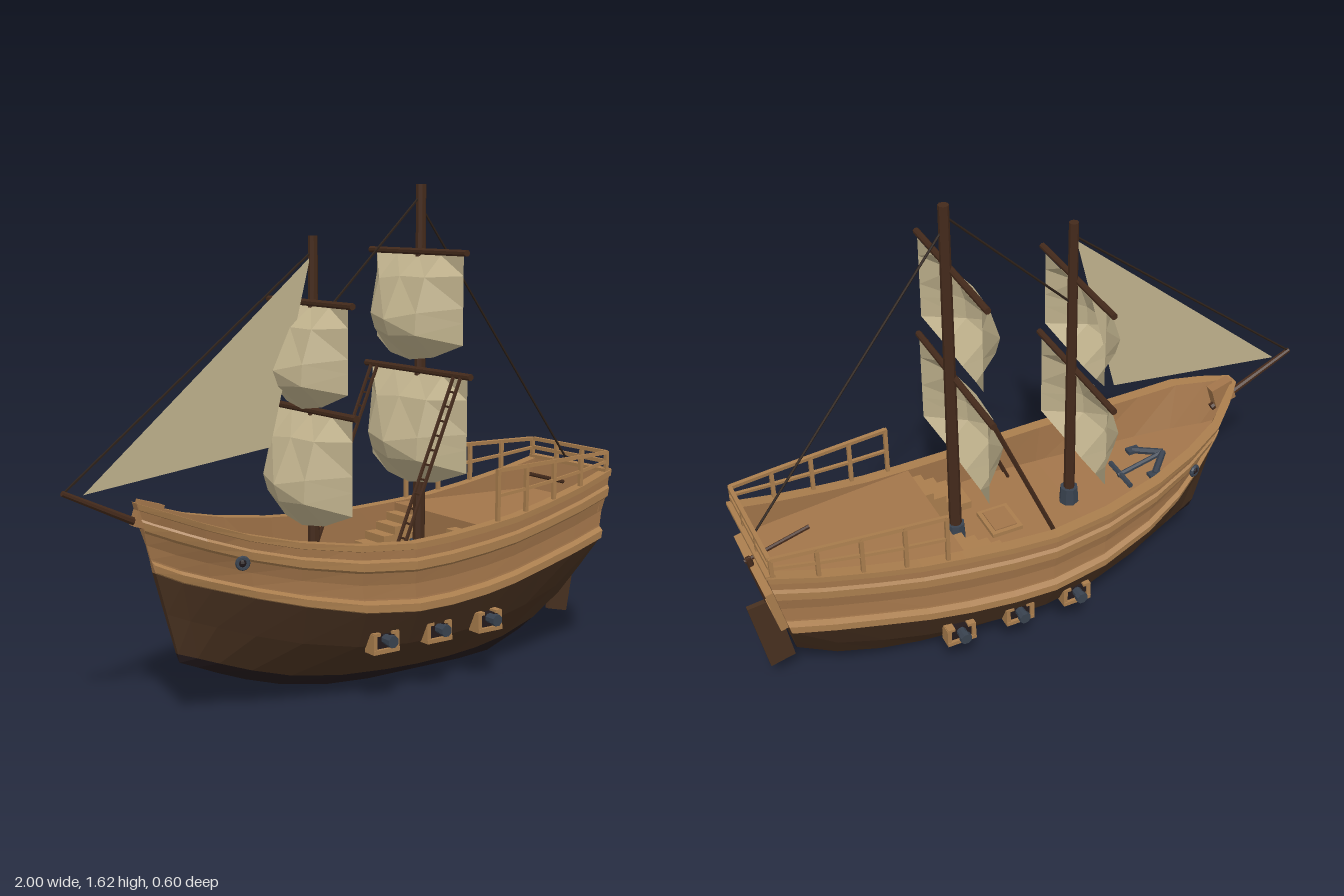
import * as THREE from 'three';

const paint = (name, color, side = THREE.FrontSide) =>
  new THREE.MeshStandardMaterial({ name, color, flatShading: true, side });
const M = {
  tan: paint('tanPlank', 0xa2754a, THREE.DoubleSide), light: paint('lightTrim', 0xa97d4d),
  brown: paint('darkPlank', 0x47301f), black: paint('tarredBottom', 0x231a1c),
  mast: paint('darkWood', 0x442a1b), iron: paint('iron', 0x39424f),
  sail: paint('sailcloth', 0xbfb18c, THREE.DoubleSide), rope: paint('rope', 0x2c2018),
  glass: paint('windowGlass', 0x505762),
};

// Hull lines at each station, bow (-x) to stern (+x)
const X = [-.77, -.70, -.62, -.5, -.35, -.15, .05, .2, .36, .5, .65, .82, .97];
const N = X.length;
const sheerY = [.69, .665, .635, .595, .56, .53, .515, .518, .528, .54, .565, .60, .64];
const sheerW = [.015, .085, .15, .195, .235, .268, .28, .27, .256, .243, .228, .21, .192];
const bandY = [.47, .44, .42, .39, .355, .315, .295, .293, .30, .315, .34, .37, .40];
const bandW = [.012, .055, .105, .172, .23, .273, .288, .28, .266, .252, .235, .217, .2];
const tarY = [.21, .19, .165, .13, .095, .07, .06, .055, .055, .06, .075, .115, .185];
const keelY = [.18, .155, .125, .085, .045, .012, 0, 0, 0, 0, .008, .06, .14];
const tarR = [.6, .4, .33, .33, .34, .36, .37, .37, .36, .34, .31, .28, .26];
const midR = [.8, .7, .7, .73, .76, .78, .79, .79, .78, .76, .73, .69, .64];
const mix = THREE.MathUtils.lerp;

function along(table, x) {
  let i = 0;
  while (i < N - 2 && x > X[i + 1]) i++;
  return mix(table[i], table[i + 1], (x - X[i]) / (X[i + 1] - X[i]));
}
// Level f: -3 keel, -2 tar line, -1 mid, 0 plank band, 1 sheer
function hullPoint(i, f, off = 0) {
  const ys = [keelY[i], tarY[i], (tarY[i] + bandY[i]) / 2, bandY[i], sheerY[i]];
  const ws = [0, bandW[i] * tarR[i], bandW[i] * midR[i], bandW[i], sheerW[i]];
  const k = Math.min(3, Math.floor(f + 3)), t = f + 3 - k;
  const y = mix(ys[k], ys[k + 1], t), w = mix(ws[k], ws[k + 1], t);
  const keelX = -.63 + (X[i] + .77) * 1.49 / 1.74;
  return [mix(keelX, X[i], (y - keelY[i]) / (sheerY[i] - keelY[i])), y, Math.max(0, w + off)];
}
// Surface from a grid of points
function grid(ni, nj, fn, flip = false) {
  const pos = [], idx = [];
  for (let i = 0; i < ni; i++) for (let j = 0; j < nj; j++) pos.push(...fn(i, j));
  for (let i = 0; i < ni - 1; i++) for (let j = 0; j < nj - 1; j++) {
    const a = i * nj + j, b = a + nj, c = b + 1, d = a + 1;
    idx.push(...(flip ? [a, c, b, a, d, c] : [a, b, c, a, c, d]));
  }
  const g = new THREE.BufferGeometry();
  g.setAttribute('position', new THREE.Float32BufferAttribute(pos, 3));
  g.setIndex(idx);
  g.computeVertexNormals();
  return g;
}

export function createModel() {
  const ship = new THREE.Group();
  ship.name = 'sailingShip';
  const add = (name, geo, mat, p = [0, 0, 0], parent = ship) => {
    const m = new THREE.Mesh(geo, mat);
    m.name = name;
    m.position.set(...p);
    parent.add(m);
    return m;
  };
  const box = (name, size, p, mat, parent) => add(name, new THREE.BoxGeometry(...size), mat, p, parent);
  const bar = (name, a, b, r, mat, sides = 8, r2 = r) => {
    const A = new THREE.Vector3(...a), B = new THREE.Vector3(...b), d = B.clone().sub(A);
    const m = add(name, new THREE.CylinderGeometry(r2, r, d.length(), sides, 1, false, Math.PI / sides), mat);
    m.position.copy(A).add(B).multiplyScalar(.5);
    m.quaternion.setFromUnitVectors(new THREE.Vector3(0, 1, 0), d.normalize());
    return m;
  };
  const strake = (name, sec, mat) => [1, -1].forEach(s => add(name, grid(N, sec.length, (i, j) => {
    const p = hullPoint(i, ...sec[j]);
    return [p[0], p[1], p[2] * s];
  }, s < 0), mat));
  const endCap = (name, i, sec, mat, flip) => add(name, grid(2, sec.length, (k, j) => {
    const p = hullPoint(i, ...sec[j]);
    return [p[0], p[1], k ? -p[2] : p[2]];
  }, flip), mat);

  // Hull bands with bow and stern faces
  for (const [name, sec, mat] of [['hullBottom', [[-3], [-2]], M.black],
    ['hullSide', [[-2], [-1], [0]], M.brown],
    ['bulwark', [[0], [.2, -.008], [.4, -.01], [.62, 0], [1]], M.tan]]) {
    strake(name, sec, mat);
    endCap(name + 'Stern', N - 1, sec, mat, false);
    endCap(name + 'Bow', 0, sec, mat, true);
  }
  strake('bulwarkInside', [[1, -.03], [.2, -.03]], M.tan);
  strake('lowerWale', [[0, 0], [.02, .01], [.13, .01], [.18, -.008]], M.light);
  strake('upperWale', [[.58, -.002], [.62, .009], [.74, .009], [.78, 0]], M.light);
  strake('capRail', [[.9, 0], [.91, .008], [1, .008], [1, -.032]], M.light);
  add('sternInside', grid(2, 2, (k, j) => {
    const p = hullPoint(N - 1, j ? 1 : .4);
    return [p[0] - .025, p[1], k ? -p[2] : p[2]];
  }), M.tan);
  box('sternCap', [.03, .012, .39], [.957, .637, 0], M.light);
  box('bowPost', [.08, .08, .035], [-.728, .648, 0], M.tan).rotation.z = -.3;

  // Decks, break of the quarterdeck, stairs and hatch
  const deck = (name, from, to, height) => add(name, grid(to - from + 1, 2, (i, j) => {
    const s = from + i, y = height(s);
    const p = hullPoint(s, (y - bandY[s]) / (sheerY[s] - bandY[s]), -.014);
    return [p[0], y, j ? -p[2] : p[2]];
  }), M.tan);
  const floor = .385;
  deck('mainDeck', 0, 8, s => Math.max(floor, sheerY[s] - .155));
  deck('quarterDeck', 8, N - 1, () => .524);
  box('deckBreak', [.012, .139, .49], [.355, .4545, 0], M.tan);
  for (const s of [1, -1]) for (let k = 0; k < 4; k++) {
    const h = .028 * (k + 1);
    box('stairStep', [.045, h, .11], [.195 + k * .045, floor + h / 2, s * .165], M.light);
  }
  box('hatchFrame', [.11, .014, .13], [.12, floor + .007, 0], M.light);
  box('hatchCover', [.08, .008, .10], [.12, floor + .014, 0], M.tan);

  // Quarterdeck railing
  const rail = .009;
  for (const s of [1, -1]) {
    const posts = [.413, .545, .68, .815, .952].map(x =>
      [x, along(sheerY, x), s * (along(sheerW, x) - .004)]);
    posts.forEach((p, i) => {
      bar('railPost', p, [p[0], .705, p[2]], rail, M.light, 4);
      if (!i) return;
      const q = posts[i - 1], mid = r => mix(r[1], .70, .5);
      bar('topRail', [q[0], .70, q[2]], [p[0], .70, p[2]], rail, M.light, 4);
      bar('midRail', [q[0], mid(q), q[2]], [p[0], mid(p), p[2]], rail * .8, M.light, 4);
    });
    bar('sternRailPost', [.955, .63, s * .065], [.955, .70, s * .065], rail, M.light, 4);
  }
  for (const y of [.70, .668]) bar('sternRail', [.955, y, -.186], [.955, y, .186], rail, M.light, 4);

  // Masts, yards and billowed sails
  const drop = [0, .22, .58, .75, 1], belly = [0, .085, .134, .12, .035], spread = [0, .8, 1, .8, 0];
  const rig = (mx, top, r, yards) => {
    bar('mast', [mx, floor - .01, 0], [mx, top, 0], r, M.mast, 8, r * .8);
    add('mastCollar', new THREE.CylinderGeometry(.03, .034, .06, 8), M.iron, [mx, floor + .03, 0]);
    for (const [y, half, w, bottom] of yards) {
      bar('yard', [mx - .015, y, -half], [mx - .015, y, half], .011, M.mast);
      add('squareSail', grid(5, 5, (i, j) => {
        const u = i / 2 - 1, inner = i % 4 && j % 4 ? ((i * 3 + j * 5) % 4 - 1.5) * .005 : 0;
        return [mx - .008 - belly[j] * spread[i] + inner,
          mix(y - .01, bottom, drop[j]) + .06 * u * u * drop[j] + inner, u * w];
      }), M.sail);
    }
  };
  rig(-.14, 1.455, .019, [[1.25, .235, .20, .92], [.915, .255, .225, .55]]);
  rig(.28, 1.615, .021, [[1.40, .255, .23, 1.05], [1.015, .28, .255, .645]]);

  // Bowsprit, stays and jib
  bar('bowsprit', [-.69, .595, 0], [-.995, .742, 0], .014, M.mast, 8, .009);
  for (const [a, b] of [[[-.99, .742, 0], [-.14, 1.41, 0]], [[-.13, 1.18, 0], [.28, 1.58, 0]],
    [[.29, 1.53, 0], [.945, .65, 0]]]) bar('stay', a, b, .004, M.rope, 5);
  const jib = new THREE.Shape([[-.15, 1.39], [-.93, .73], [-.30, .81]].map(p => new THREE.Vector2(...p)));
  add('jib', new THREE.ShapeGeometry(jib), M.sail);

  // Rope ladders to the main mast
  for (const s of [1, -1]) {
    for (const z of [.205, .24]) bar('ladderSide', [-.01, floor, s * z], [.255, 1.01, s * z], .006, M.mast, 5);
    for (let k = 1; k < 14; k++) {
      const x = mix(-.01, .255, k / 14), y = mix(floor, 1.01, k / 14);
      bar('ladderRung', [x, y, s * .205], [x, y, s * .24], .004, M.mast, 4);
    }
  }

  // Gun ports, cannons and hawse rings
  for (const s of [1, -1]) {
    for (const x of [-.04, .17, .38]) {
      const port = new THREE.Group();
      port.name = 'gunPort';
      port.position.set(x, .205, s * .234);
      ship.add(port);
      box('portSill', [.1, .014, .05], [0, -.027, 0], M.light, port);
      for (const e of [1, -1]) {
        box('portSide', [.014, .06, .045], [e * .043, 0, 0], M.light, port);
        box('portHead', [.025, .01, .045], [e * .035, .028, 0], M.light, port);
      }
      box('portOpening', [.072, .045, .03], [0, .003, 0], M.black, port);
      bar('cannon', [x, .215, s * .19], [x, .215, s * .285], .016, M.iron);
      bar('cannonMuzzle', [x, .215, s * .275], [x, .215, s * .293], .02, M.iron);
    }
    const ring = add('hawseRing', new THREE.TorusGeometry(.016, .007, 6, 12), M.iron, [-.515, .51, s * .187]);
    ring.rotation.y = -s * .4;
    add('hawseHole', new THREE.SphereGeometry(.014, 8, 6), M.black, [-.515, .51, s * .183]);
  }

  // Anchor lying on the foredeck
  bar('anchorShank', [-.5, .462, 0], [-.33, .422, 0], .009, M.iron, 6);
  bar('anchorStock', [-.34, .424, -.07], [-.34, .424, .07], .01, M.iron, 6);
  for (const s of [1, -1]) {
    bar('anchorArm', [-.505, .463, 0], [-.43, .446, s * .075], .012, M.iron, 6);
    box('anchorFluke', [.045, .012, .03], [-.43, .446, s * .075], M.iron);
  }

  // Stern gallery windows, tilted with the transom
  const gallery = new THREE.Group();
  gallery.name = 'sternGallery';
  gallery.position.set(.931, .46, 0);
  gallery.rotation.z = -.216;
  ship.add(gallery);
  const arch = (w, h) => {
    const a = new THREE.Shape();
    a.moveTo(-w, -h).lineTo(w, -h).lineTo(w, h - w);
    a.absarc(0, h - w, w, 0, Math.PI, false);
    return a;
  };
  for (const s of [1, -1]) {
    box('galleryTrim', [.03, .012, .31], [.01, s * .075, 0], M.light, gallery);
    box('galleryTrim', [.03, .15, .012], [.01, 0, s * .149], M.light, gallery);
    const pane = (name, shape, depth, mat) => add(name, new THREE.ExtrudeGeometry(shape,
      { depth, bevelEnabled: false, curveSegments: 6 }).rotateY(Math.PI / 2), mat, [0, 0, s * .088], gallery);
    const frame = arch(.042, .058);
    frame.holes.push(arch(.031, .047));
    pane('windowFrame', frame, .018, M.light);
    pane('windowGlass', arch(.033, .049), .007, M.glass);
    box('windowBar', [.006, .09, .005], [.008, 0, s * .088], M.mast, gallery);
    for (const y of [-.015, .015]) box('windowBar', [.006, .005, .06], [.008, y, s * .088], M.mast, gallery);
  }

  // Rudder and tiller
  const blade = new THREE.Shape([[.865, .115], [.95, .095], [1, .365], [.91, .375]].map(p => new THREE.Vector2(...p)));
  add('rudderBlade', new THREE.ExtrudeGeometry(blade, { depth: .018, bevelEnabled: false }), M.brown, [0, 0, -.009]);
  bar('rudderStock', [.92, .33, 0], [.973, .565, 0], .011, M.mast, 6);
  bar('tiller', [.77, .615, 0], [.985, .555, 0], .007, M.mast, 6);
  return ship;
}
